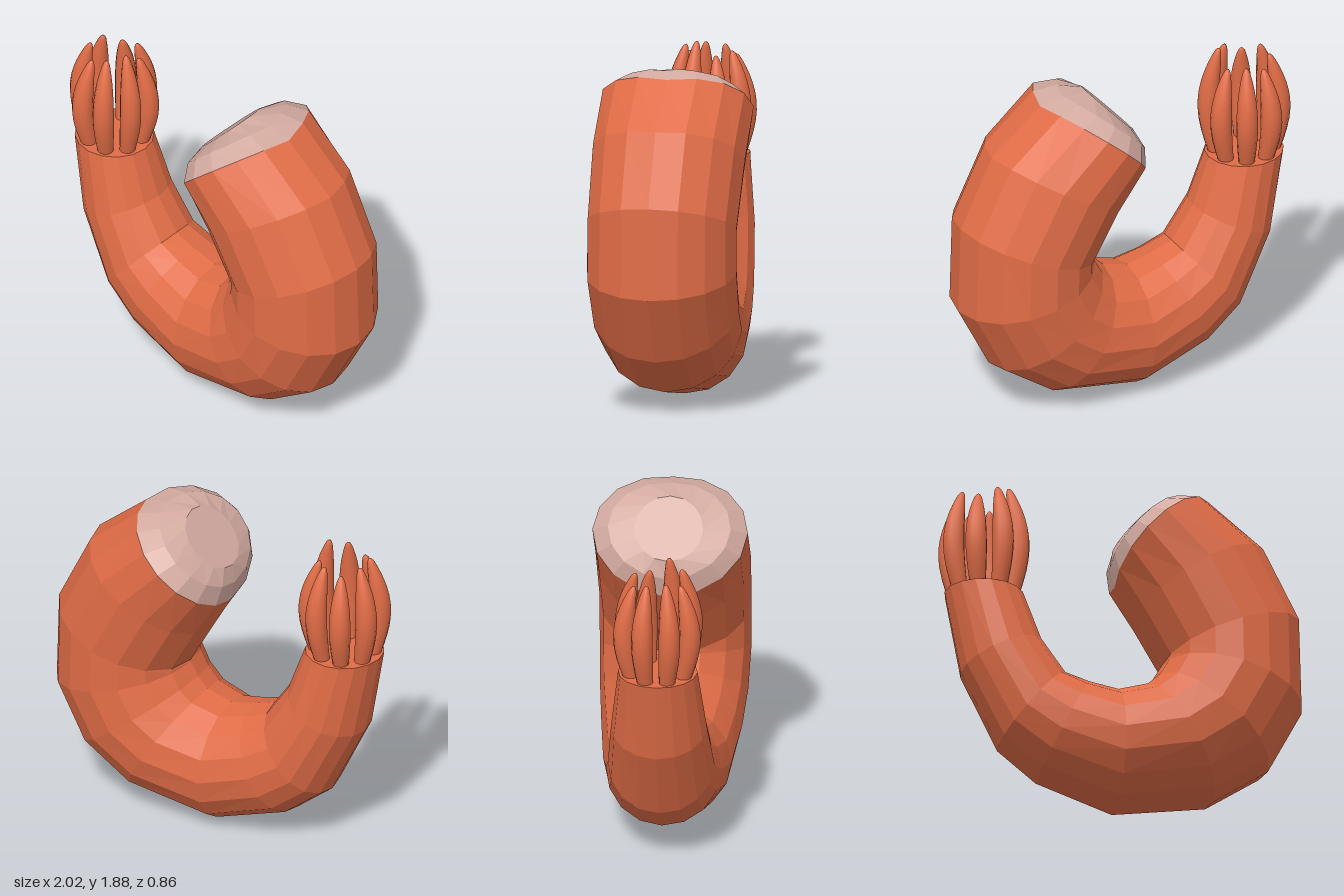
import * as THREE from 'three';

const orange = new THREE.MeshStandardMaterial({ color: 0xe06c46 });
orange.name = 'orange skin';
const pale = new THREE.MeshStandardMaterial({ color: 0xd4aba1 });
pale.name = 'pale pink';

// Skin elliptical sections { c: centre, u: half-axis in xy, w: half-width in z, b: bulge along the path }
function loft(sections, sides, { flat = true, startCap = false, endCap = false } = {}) {
  const pos = [], idx = [];
  for (const { c, u, w, b = 0 } of sections) {
    const len = Math.hypot(u[0], u[1]);
    for (let k = 0; k < sides; k++) {
      const a = (k / sides) * Math.PI * 2, co = Math.cos(a), si = Math.sin(a);
      const lift = (b * Math.abs(si)) / len;
      pos.push(c[0] + u[0] * co - u[1] * lift, c[1] + u[1] * co + u[0] * lift, c[2] + w * si);
    }
  }
  const last = sections.length - 1;
  for (let i = 0; i < last; i++) {
    for (let k = 0; k < sides; k++) {
      const n = (k + 1) % sides;
      const p = i * sides + k, q = i * sides + n, r = p + sides, s = q + sides;
      idx.push(p, r, s, p, s, q);
    }
  }
  const cap = (row, flip) => {
    const mid = pos.length / 3;
    pos.push(...sections[row].c);
    for (let k = 0; k < sides; k++) {
      const p = row * sides + k, q = row * sides + ((k + 1) % sides);
      idx.push(mid, flip ? q : p, flip ? p : q);
    }
  };
  if (startCap) cap(0, false);
  if (endCap) cap(last, true);
  let g = new THREE.BufferGeometry();
  g.setAttribute('position', new THREE.Float32BufferAttribute(pos, 3));
  g.setIndex(idx);
  if (flat) g = g.toNonIndexed();
  g.computeVertexNormals();
  return g;
}

// Section spanning from an outer to an inner point of the curl
const span = ([ox, oy, ix, iy, w, b = 0]) => ({
  c: [(ox + ix) / 2, (oy + iy) / 2, 0],
  u: [(ox - ix) / 2, (oy - iy) / 2],
  w, b,
});

function add(group, name, geometry, material) {
  const mesh = new THREE.Mesh(geometry, material);
  mesh.name = name;
  group.add(mesh);
}

// One finger: bulges outward in the middle and closes in at a rounded tip
function finger(angle, height, thick) {
  const steps = 14, rings = [];
  for (let i = 0; i <= steps; i++) {
    const t = Math.sin((i / steps) * Math.PI / 2);
    const r = thick * (0.72 + 0.28 * Math.sin(Math.PI * Math.min(1, t * 1.1)))
      * Math.sqrt(Math.max(0.0004, 1 - Math.pow(t, 6)));
    const out = 0.155 + 0.05 * Math.sin(Math.PI * t) - 0.015 * t;
    rings.push({
      c: [-0.78 + out * Math.cos(angle), 1.23 + t * (height - 1.23), out * Math.sin(angle)],
      u: [r, 0], w: r,
    });
  }
  return loft(rings, 12, { flat: false, endCap: true });
}

export function createModel() {
  const model = new THREE.Group();
  model.name = 'curledCreature';

  // Curled body, from the narrow end round to the head
  const rim = [0.49, 1.83, -0.05, 1.35, 0.43, 0.08];
  const body = [
    [-1.0, 1.25, -0.56, 1.245, 0.22],
    [-0.91, 0.77, -0.46, 0.97, 0.265],
    [-0.70, 0.34, -0.33, 0.78, 0.295],
    [-0.48, 0.16, -0.20, 0.735, 0.32],
    [-0.04, 0.005, -0.05, 0.70, 0.355],
    [0.50, 0.09, 0.10, 0.74, 0.39],
    [0.81, 0.30, 0.16, 0.80, 0.41],
    [1.0, 0.67, 0.205, 0.88, 0.42],
    [0.985, 1.18, 0.21, 0.89, 0.42],
    [0.79, 1.58, 0.07, 1.14, 0.43, 0.04],
    rim,
  ];
  add(model, 'body', loft(body.map(span), 16, { startCap: true }), orange);

  // Pale blunt face on the thick end
  const face = [
    rim,
    [0.35, 1.86, -0.075, 1.47, 0.34, 0.05],
    [0.20, 1.85, -0.06, 1.575, 0.19],
  ];
  add(model, 'face', loft(face.map(span), 16, { endCap: true }), pale);

  // Ring of fingers on the narrow end
  const fingers = new THREE.Group();
  fingers.name = 'fingers';
  const heights = [1.88, 1.85, 1.80, 1.84, 1.83, 1.79, 1.82, 1.80];
  heights.forEach((h, i) => {
    add(fingers, 'finger' + (i + 1), finger((i + 0.5) * Math.PI / 4, h, 0.06), orange);
  });
  model.add(fingers);
  return model;
}
